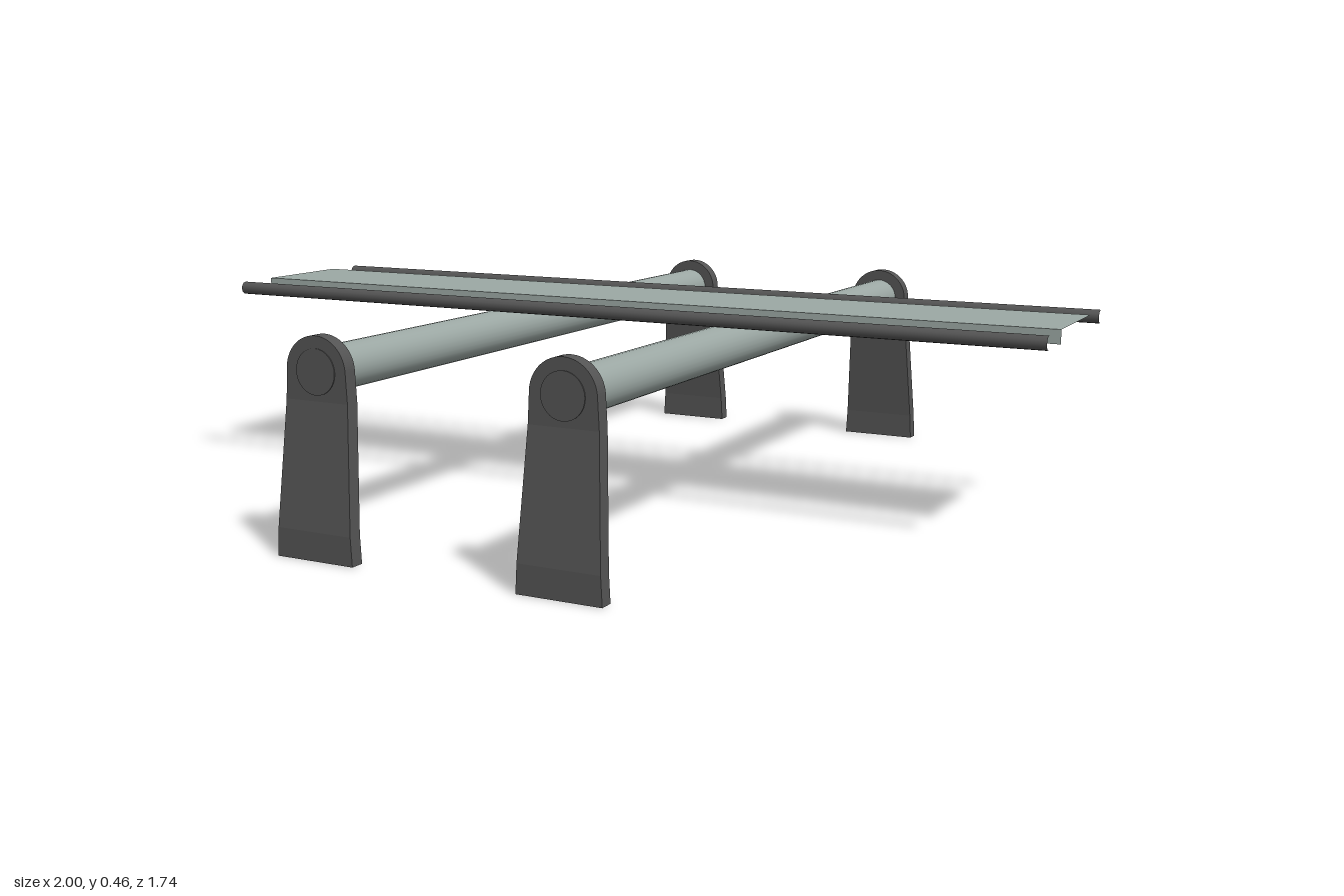
import * as THREE from 'three';

const BAR_X = 0.281, BAR_Y = 0.379, BAR_R = 0.047, LEG_R = 0.072;
const INNER_Z = 0.816, THICK = 0.031, BEND_Y = 0.32;

export function createModel() {
  const silver = new THREE.MeshStandardMaterial({ color: 0x9ca8a4 });
  silver.name = 'silver aluminium';
  const dark = new THREE.MeshStandardMaterial({ color: 0x545454 });
  dark.name = 'dark grey';

  const model = new THREE.Group();
  model.name = 'roofRack';
  const add = (parent, name, geometry, material, x = 0, y = 0, z = 0) => {
    const mesh = new THREE.Mesh(geometry, material);
    mesh.name = name;
    mesh.position.set(x, y, z);
    parent.add(mesh);
    return mesh;
  };
  const halfWidth = (y) => 0.0925 - (0.0925 - LEG_R) * y / BAR_Y;

  // Rounded upright top of a leg
  const topShape = new THREE.Shape();
  topShape.moveTo(-halfWidth(BEND_Y), BEND_Y);
  topShape.lineTo(halfWidth(BEND_Y), BEND_Y);
  topShape.lineTo(LEG_R, BAR_Y);
  topShape.absarc(0, BAR_Y, LEG_R, 0, Math.PI, false);
  topShape.closePath();
  const legTop = new THREE.ExtrudeGeometry(topShape, { depth: THICK, bevelEnabled: false, curveSegments: 24 });

  // Splayed lower leg with a short vertical foot, widening downwards
  let lower = new THREE.BoxGeometry(2, 2, THICK, 1, 2, 1);
  const p = lower.attributes.position;
  const rowY = [0, 0.06, BEND_Y], rowZ = [0.0385, 0.0385, 0.0155];
  for (let i = 0; i < p.count; i++) {
    const row = Math.round(p.getY(i)) + 1;
    p.setXYZ(i, p.getX(i) * halfWidth(rowY[row]), rowY[row], p.getZ(i) + rowZ[row]);
  }
  lower = lower.toNonIndexed();
  lower.computeVertexNormals();

  // Dark saddle hugging the underside of the bar, longest at the bottom
  const saddle = new THREE.PlaneGeometry(2, 1, 16, 1);
  const s = saddle.attributes.position;
  for (let i = 0; i < s.count; i++) {
    const a = s.getX(i) * 1.05, r = BAR_R + 0.0015;
    const reach = 0.035 * (Math.cos(a) - Math.cos(1.05)) / (1 - Math.cos(1.05));
    s.setXYZ(i, r * Math.sin(a), -r * Math.cos(a), s.getY(i) > 0 ? 0 : -reach);
  }
  saddle.computeVertexNormals();
  const saddleMaterial = dark.clone();
  saddleMaterial.name = 'dark grey saddle';
  saddleMaterial.side = THREE.DoubleSide;

  const bar = new THREE.CylinderGeometry(BAR_R, BAR_R, 2 * INNER_Z, 32).rotateX(Math.PI / 2);
  const plug = new THREE.CylinderGeometry(BAR_R, BAR_R, 0.004, 32).rotateX(Math.PI / 2);

  // Two crossbars, each with a leg at both ends
  for (const side of [-1, 1]) {
    const x = side * BAR_X;
    add(model, side > 0 ? 'leftCrossbar' : 'rightCrossbar', bar, silver, x, BAR_Y, 0);
    for (const end of [0, 1]) {
      const leg = new THREE.Group();
      leg.name = end ? 'backLeg' : 'frontLeg';
      leg.position.x = x;
      leg.rotation.y = end * Math.PI;
      model.add(leg);
      add(leg, 'legTop', legTop, dark, 0, 0, INNER_Z);
      add(leg, 'legLower', lower, dark, 0, 0, INNER_Z);
      add(leg, 'barPlug', plug, dark, 0, BAR_Y, INNER_Z + THICK);
      add(leg, 'barSaddle', saddle, saddleMaterial, 0, BAR_Y, INNER_Z);
    }
  }

  // Open-ended plank lying across the bars
  const plank = new THREE.BoxGeometry(2, 0.03, 0.248);
  plank.setIndex(Array.from(plank.index.array).slice(12));
  plank.clearGroups();
  add(model, 'plank', plank, silver, 0, 0.442, 0);

  // Thin open-ended rods either side of the plank
  const rod = new THREE.CylinderGeometry(0.015, 0.015, 2, 12, 1, true).rotateZ(Math.PI / 2);
  for (const side of [-1, 1]) {
    add(model, side > 0 ? 'frontRod' : 'backRod', rod, dark, 0, 0.442, side * 0.219);
  }
  return model;
}
